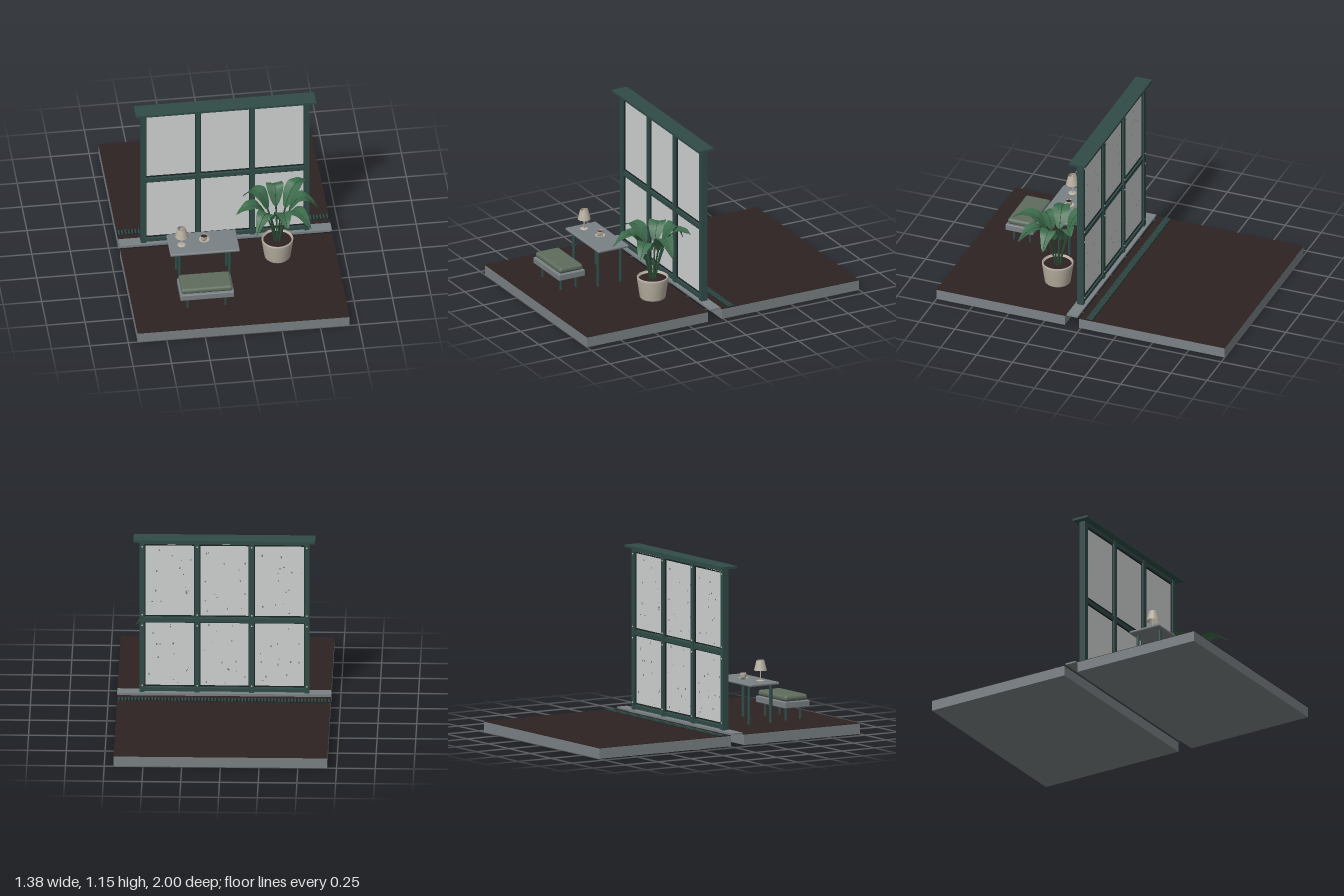
import * as THREE from 'three';
import { RoundedBoxGeometry } from 'three/addons/geometries/RoundedBoxGeometry.js';

const mat = (name, color, side = THREE.FrontSide) => {
  const m = new THREE.MeshStandardMaterial({ color, side });
  m.name = name;
  return m;
};

export function createModel() {
  const M = {
    stone: mat('grey stone', 0x7a8184),
    deck: mat('dark decking', 0x2d2222),
    frame: mat('dark teal frame', 0x304b47),
    trim: mat('black trim', 0x1a2221),
    glass: mat('frosted glass', 0xd0d3d2),
    leaf: mat('leaf green', 0x3c6b4b, THREE.DoubleSide),
    stem: mat('stem green', 0x2b4a35),
    cushion: mat('sage cushion', 0x5e6c5d),
    cream: mat('cream ceramic', 0xb9b1a3, THREE.DoubleSide),
    metal: mat('pale metal', 0xc4c6c2),
  };
  const root = new THREE.Group();
  root.name = 'terraceWithGlassScreen';

  const group = (name, x = 0, y = 0, z = 0) => {
    const g = new THREE.Group();
    g.name = name;
    g.position.set(x, y, z);
    root.add(g);
    return g;
  };
  const add = (parent, name, geo, m, x = 0, y = 0, z = 0) => {
    const mesh = new THREE.Mesh(geo, m);
    mesh.name = name;
    mesh.position.set(x, y, z);
    parent.add(mesh);
    return mesh;
  };
  // box given by its minimum and maximum on each axis
  const span = (parent, name, m, x0, x1, y0, y1, z0, z1) =>
    add(parent, name, new THREE.BoxGeometry(x1 - x0, y1 - y0, z1 - z0), m,
      (x0 + x1) / 2, (y0 + y1) / 2, (z0 + z1) / 2);
  const lathe = (points, segments = 32) =>
    new THREE.LatheGeometry(points.map(([r, y]) => new THREE.Vector2(r, y)), segments);

  // two floor slabs with a thin dark deck, and the sill bridging the gap
  const floor = group('floor');
  for (const [z0, z1] of [[0.11, 1], [-1, 0.01]]) {
    span(floor, 'slab', M.stone, -0.69, 0.69, 0, 0.068, z0, z1);
    span(floor, 'deck', M.deck, -0.69, 0.69, 0.068, 0.071, z0, z1);
  }
  span(floor, 'sill', M.stone, -0.69, 0.69, 0.072, 0.083, 0.02, 0.096);

  // drain grate behind the screen
  const grate = group('drainGrate');
  span(grate, 'grateBed', M.trim, -0.69, 0.69, 0.071, 0.073, -0.082, -0.036);
  for (let i = 0; i < 64; i++) {
    const x = -0.677 + i * 0.0215;
    span(grate, 'grateBar', M.frame, x - 0.005, x + 0.005, 0.073, 0.079, -0.08, -0.038);
  }

  // screen frame
  const screen = group('glassScreen');
  const posts = [-0.534, -0.178, 0.174, 0.529];
  for (const x of posts) span(screen, 'post', M.frame, x - 0.016, x + 0.016, 0.083, 1.14, 0.038, 0.081);
  span(screen, 'topCap', M.frame, -0.588, 0.585, 1.14, 1.155, 0.01, 0.122);
  for (const [name, y0, y1] of [['bottomRail', 0.088, 0.112], ['middleRail', 0.572, 0.6], ['topRail', 1.118, 1.14]])
    span(screen, name, M.frame, -0.53, 0.525, y0, y1, 0.043, 0.076);

  // panes with black beads, bolts and rain drops on the back
  let seed = 7;
  const rnd = () => (seed = (seed * 16807) % 2147483647) / 2147483647;
  const dropGeo = new THREE.SphereGeometry(1, 8, 6);
  const boltGeo = new THREE.CylinderGeometry(0.005, 0.005, 0.004, 10).rotateX(Math.PI / 2);
  for (let i = 0; i < 3; i++) {
    const x0 = posts[i] + 0.016, x1 = posts[i + 1] - 0.016;
    for (const [y0, y1] of [[0.121, 0.572], [0.61, 1.112]]) {
      span(screen, 'pane', M.glass, x0, x1, y0, y1, 0.056, 0.063);
      for (const y of [y0, y1 - 0.006]) span(screen, 'paneBead', M.trim, x0, x1, y, y + 0.006, 0.049, 0.07);
      for (const x of [x0, x1 - 0.004]) span(screen, 'sideBead', M.trim, x, x + 0.004, y0, y1, 0.049, 0.07);
      for (let k = 0; k < 14; k++) {
        const s = 0.002 + rnd() * 0.003;
        const drop = add(screen, 'rainDrop', dropGeo, M.stone,
          x0 + 0.02 + rnd() * (x1 - x0 - 0.04), y0 + 0.02 + rnd() * (y1 - y0 - 0.04), 0.056);
        drop.scale.set(s, s * (1 + rnd()), 0.003);
      }
    }
  }
  for (const x of posts) for (const y of [0.13, 0.55, 0.625, 1.1])
    add(screen, 'bolt', boltGeo, M.metal, x, y, 0.037);

  // four round legs, centred on their group
  const legs = (parent, dx, dz, height, r) => {
    for (const sx of [-1, 1]) for (const sz of [-1, 1])
      add(parent, 'leg', new THREE.CylinderGeometry(r, r, height, 14), M.frame, sx * dx, height / 2, sz * dz);
  };

  // table
  const table = group('table', -0.193, 0.071, 0.445);
  add(table, 'tableTop', new RoundedBoxGeometry(0.452, 0.019, 0.224, 3, 0.008), M.stone, 0, 0.261, 0);
  legs(table, 0.163, 0.083, 0.252, 0.0105);

  // stool with cushion
  const stool = group('stool', -0.211, 0.071, 0.714);
  add(stool, 'stoolSeat', new RoundedBoxGeometry(0.35, 0.043, 0.192, 3, 0.006), M.stone, 0, 0.106, 0);
  add(stool, 'stoolCushion', new RoundedBoxGeometry(0.334, 0.04, 0.174, 5, 0.018), M.cushion, 0, 0.147, 0);
  legs(stool, 0.123, 0.055, 0.086, 0.0085);

  // table lamp
  const lamp = group('tableLamp', -0.335, 0.342, 0.463);
  add(lamp, 'lampBase', lathe([[0, 0], [0.027, 0], [0.027, 0.005], [0.02, 0.008], [0, 0.009]]), M.cream);
  add(lamp, 'lampStem', new THREE.CylinderGeometry(0.004, 0.004, 0.125, 12), M.cream, 0, 0.067, 0);
  add(lamp, 'lampShade', lathe([[0.042, 0.072], [0.026, 0.138]]), M.cream);
  add(lamp, 'lampKnob', new THREE.SphereGeometry(0.009, 14, 10), M.cream, 0, 0.127, 0);

  // cup and saucer
  const cup = group('cupAndSaucer', -0.185, 0.342, 0.428);
  add(cup, 'saucer', lathe([[0, 0], [0.02, 0], [0.035, 0.006], [0.033, 0.007], [0.018, 0.003], [0, 0.003]]), M.cream);
  add(cup, 'cupBody', lathe([[0, 0.004], [0.014, 0.004], [0.02, 0.016], [0.022, 0.038], [0.02, 0.038], [0.018, 0.018], [0, 0.01]]), M.cream);
  add(cup, 'coffee', new THREE.CylinderGeometry(0.0195, 0.019, 0.002, 24), M.deck, 0, 0.031, 0);
  add(cup, 'cupHandle', new THREE.TorusGeometry(0.01, 0.0025, 8, 18), M.cream, 0.026, 0.022, 0);

  // plant pot
  const plant = group('pottedPlant', 0.308, 0, 0.31);
  add(plant, 'pot', lathe([[0, 0.071], [0.076, 0.071], [0.084, 0.08], [0.102, 0.205], [0.103, 0.216],
    [0.1, 0.22], [0.094, 0.22], [0.09, 0.2], [0, 0.195]], 40), M.cream);
  add(plant, 'soil', new THREE.CylinderGeometry(0.091, 0.089, 0.008, 32), M.deck, 0, 0.201, 0);

  // leaves: a folded strip that follows an arching midrib
  const leafGeometry = (rib, halfWidth) => {
    const geo = new THREE.PlaneGeometry(1, 1, 6, 18);
    const pos = geo.attributes.position;
    for (let i = 0; i < pos.count; i++) {
      const u = pos.getX(i) * 2, t = pos.getY(i) + 0.5;
      const c = rib.getPoint(t), d = rib.getTangent(t);
      const side = new THREE.Vector3(-d.z, 0, d.x).normalize();
      const w = halfWidth * Math.pow(Math.sin(Math.PI * Math.pow(t, 0.85)), 0.75);
      c.addScaledVector(side, u * w || 0);
      c.y += 0.012 * Math.abs(u) * Math.sin(Math.PI * t) + 0.003 * u * Math.sin(t * 20);
      pos.setXYZ(i, c.x, c.y, c.z);
    }
    geo.computeVertexNormals();
    return geo;
  };
  // tip x, tip z, tip height, arch height, all from the pot centre
  const leaves = [
    [-0.275, 0.06, 0.485, 0.60], [-0.16, 0.2, 0.41, 0.61], [0.03, 0.295, 0.51, 0.63],
    [0.195, 0.2, 0.43, 0.60], [0.27, 0, 0.435, 0.65], [0.2, -0.17, 0.55, 0.62],
    [0.0, -0.22, 0.45, 0.66], [-0.2, -0.17, 0.45, 0.64],
  ];
  leaves.forEach(([tx, tz, ty, arch]) => {
    const r = Math.hypot(tx, tz), dx = tx / r, dz = tz / r;
    const at = (rad, y) => new THREE.Vector3(dx * rad, y, dz * rad);
    const stem = new THREE.QuadraticBezierCurve3(at(0.018, 0.2), at(0.035, 0.32), at(0.075, 0.425));
    const rib = new THREE.QuadraticBezierCurve3(at(0.07, 0.415), at(0.14, arch), at(r, ty));
    add(plant, 'leafStem', new THREE.TubeGeometry(stem, 10, 0.0055, 8), M.stem);
    add(plant, 'leaf', leafGeometry(rib, 0.056), M.leaf);
    add(plant, 'leafMidrib', new THREE.TubeGeometry(rib, 16, 0.0022, 6), M.stem);
  });

  return root;
}
